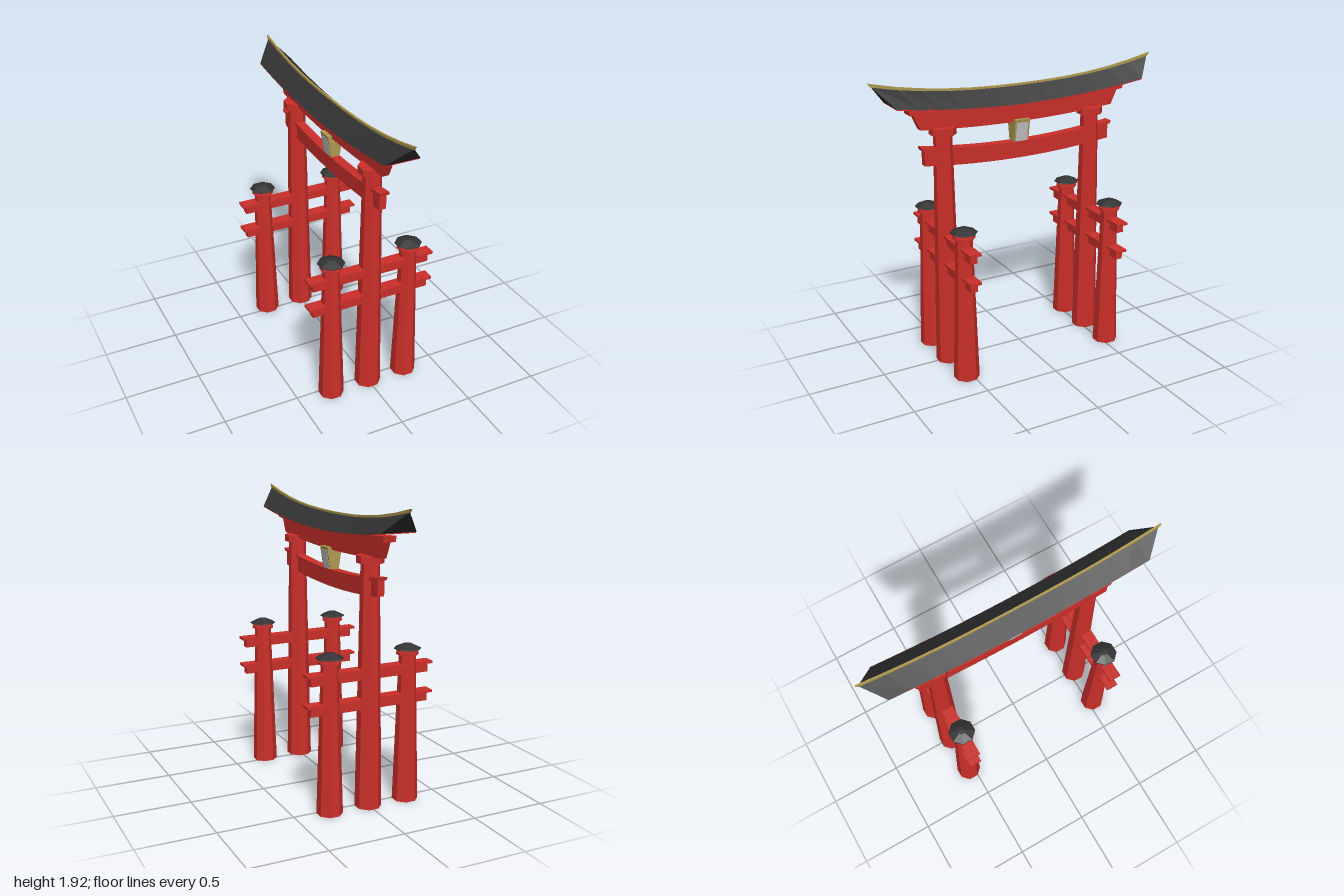
import * as THREE from 'three';

const mat = (color) => new THREE.MeshStandardMaterial({ color, flatShading: true });
const red = mat(0xcc2f2a), dark = mat(0x333333), gold = mat(0xb09a50), grey = mat(0xcccccc);

function add(parent, name, geometry, material, x = 0, y = 0, z = 0) {
  const mesh = new THREE.Mesh(geometry, material);
  mesh.name = name;
  mesh.position.set(x, y, z);
  parent.add(mesh);
  return mesh;
}

// Octagonal turned part with flats facing the axes; profile is [half width, y]
function octagon(profile) {
  const pts = profile.map(([r, y]) => new THREE.Vector2(r / Math.cos(Math.PI / 8), y));
  return new THREE.LatheGeometry(pts, 8, Math.PI / 8);
}

// Closed skin over equal rings, each counter-clockwise seen from +z
function loft(rings) {
  const n = rings[0].length, index = [];
  const last = (rings.length - 1) * n;
  for (let s = 0; s < rings.length - 1; s++) {
    for (let i = 0; i < n; i++) {
      const a = s * n + i, b = s * n + (i + 1) % n;
      index.push(a, b, b + n, a, b + n, a + n);
    }
  }
  for (let i = 1; i < n - 1; i++) {
    index.push(0, i + 1, i, last, last + i, last + i + 1);
  }
  const g = new THREE.BufferGeometry();
  g.setAttribute('position', new THREE.Float32BufferAttribute(rings.flat(2), 3));
  g.setIndex(index);
  const flat = g.toNonIndexed();
  flat.computeVertexNormals();
  return flat;
}

const stations = (fn, n = 12) => Array.from({ length: n + 1 }, (_, i) => fn(-1 + (2 * i) / n));

// An edge line sagging in the middle: half length, centre y, end y, power
const sag = (len, y0, y1, p = 2) => (t) => [len * t, y0 + (y1 - y0) * Math.abs(t) ** p];

// Curved beam of half width w between a bottom and a top edge line
function curvedBeam(w, bottom, top) {
  return loft(stations((t) => {
    const [zb, yb] = bottom(t), [zt, yt] = top(t);
    return [[-w, yb, zb], [w, yb, zb], [w, yt, zt], [-w, yt, zt]];
  }));
}

// One tall pillar with its two short supports and the rails through them
function pillarSet(z) {
  const set = new THREE.Group();
  set.name = 'pillarSet';
  set.position.z = z;
  add(set, 'mainPillar', octagon([[0, 0], [0.079, 0], [0.054, 1.57], [0, 1.57]]), red);
  add(set, 'mainCollar', octagon([[0, 1.56], [0.08, 1.56], [0.08, 1.606], [0, 1.606]]), red);
  for (const x of [-0.27, 0.27]) {
    add(set, 'supportPillar', octagon([[0, 0], [0.077, 0], [0.05, 0.97], [0.05, 1], [0, 1]]), red, x);
    add(set, 'lowerRing', octagon([[0, 0.965], [0.066, 0.965], [0.066, 0.98], [0, 0.98]]), red, x);
    add(set, 'upperRing', octagon([[0, 0.988], [0.066, 0.988], [0.066, 1.002], [0, 1.002]]), red, x);
    add(set, 'supportCap', octagon([[0, 1], [0.08, 1], [0.078, 1.006], [0.025, 1.032], [0, 1.034]]), dark, x);
  }
  for (const y of [0.65, 0.84]) {
    add(set, 'rail', new THREE.BoxGeometry(0.81, 0.055, 0.048), red, 0, y + 0.0275, 0);
    add(set, 'railPlate', new THREE.BoxGeometry(0.865, 0.016, 0.08), red, 0, y + 0.063, 0);
  }
  return set;
}

// Tablet between the crossbeams, flaring towards the top
function tablet() {
  const g = new THREE.Group();
  g.name = 'tablet';
  const yb = 1.433, yt = 1.592, wb = 0.028, wt = 0.053;
  const slab = (y0, y1, hz, grow) => {
    const w = (y) => wb + (wt - wb) * (y - yb) / (yt - yb) + grow;
    return loft([-hz, hz].map((z) => [[-w(y0), y0, z], [w(y0), y0, z], [w(y1), y1, z], [-w(y1), y1, z]]));
  };
  add(g, 'tabletFrame', slab(yb, yt, 0.053, 0), gold);
  add(g, 'tabletPanel', slab(yb + 0.014, yt - 0.02, 0.041, 0.002), grey);
  return g;
}

export function createModel() {
  const model = new THREE.Group();
  model.name = 'gate';
  model.add(pillarSet(0.535), pillarSet(-0.535));

  // Lower crossbeam and its plate
  add(model, 'lowerCrossbeam', curvedBeam(0.023, sag(0.67, 1.335, 1.375), sag(0.67, 1.432, 1.48)), red);
  add(model, 'lowerPlate', curvedBeam(0.032, sag(0.685, 1.43, 1.474), sag(0.69, 1.447, 1.494)), red);
  model.add(tablet());

  // Upper crossbeam and its plate
  add(model, 'upperCrossbeam', curvedBeam(0.023, sag(0.69, 1.575, 1.605), sag(0.74, 1.672, 1.712)), red);
  add(model, 'upperPlate', curvedBeam(0.042, sag(0.765, 1.668, 1.708), sag(0.77, 1.708, 1.746)), red);

  // Curved roof whose ridge reaches beyond the eaves
  const eave = sag(0.87, 1.712, 1.775), ridge = sag(0.985, 1.81, 1.902, 2.4);
  add(model, 'roof', loft(stations((t) => {
    const [ze, ye] = eave(t), [zr, yr] = ridge(t);
    return [[-0.115, ye, ze], [0.115, ye, ze], [0, yr, zr]];
  })), dark);
  add(model, 'roofUnderside', curvedBeam(0.113, sag(0.868, 1.706, 1.769), sag(0.868, 1.714, 1.777)), red);
  add(model, 'ridgeTrim', curvedBeam(0.006, sag(0.985, 1.804, 1.898, 2.4), sag(1, 1.818, 1.921, 2.4)), gold);
  return model;
}
